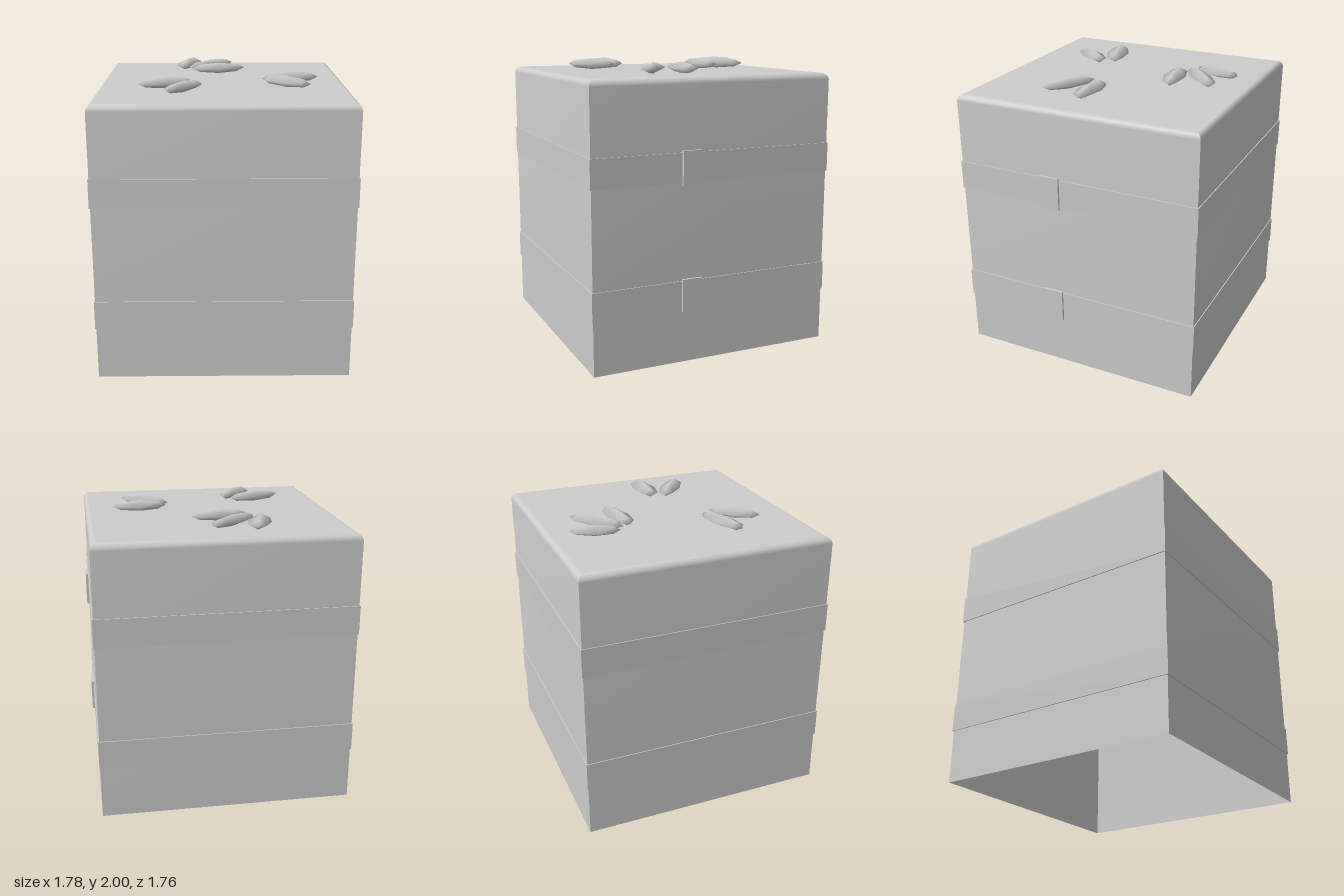
import * as THREE from 'three';
import { toCreasedNormals } from 'three/addons/utils/BufferGeometryUtils.js';

const CX = -0.012;      // the box sits slightly off centre because of the clasps
const HALF = 0.875;     // half width of the box
const TOP = 1.923;
const FILLET = 0.043;

// Open-bottomed square shell with a rounded top rim, built from square rings
function shellGeometry() {
  const rings = [[HALF, 0], [HALF, TOP - FILLET - 0.006]];
  const steps = 4;
  for (let i = 0; i <= steps; i++) {
    const a = (i / steps) * Math.PI / 2;
    rings.push([HALF - FILLET * (1 - Math.cos(a)), TOP - FILLET * (1 - Math.sin(a))]);
  }
  rings.push([HALF - FILLET - 0.006, TOP]);

  const corners = [[1, 1], [1, -1], [-1, -1], [-1, 1]];
  const positions = [];
  const index = [];
  for (const [h, y] of rings) {
    for (const [sx, sz] of corners) positions.push(sx * h, y, sz * h);
  }
  for (let r = 0; r < rings.length - 1; r++) {
    for (let c = 0; c < 4; c++) {
      const a = r * 4 + c;
      const b = r * 4 + (c + 1) % 4;
      index.push(a, b, b + 4, a, b + 4, a + 4);
    }
  }
  const t = (rings.length - 1) * 4;
  index.push(t, t + 1, t + 2, t, t + 2, t + 3);

  const geometry = new THREE.BufferGeometry();
  geometry.setAttribute('position', new THREE.Float32BufferAttribute(positions, 3));
  geometry.setIndex(index);
  return toCreasedNormals(geometry, 0.7);
}

// Thin square sleeve that wraps the box
function bandGeometry(height) {
  const square = (Type, h) => new Type().moveTo(-h, -h).lineTo(h, -h).lineTo(h, h).lineTo(-h, h).closePath();
  const outline = square(THREE.Shape, HALF + 0.007);
  outline.holes.push(square(THREE.Path, HALF + 0.0005));
  const geometry = new THREE.ExtrudeGeometry(outline, { depth: height, bevelEnabled: false });
  return geometry.rotateX(-Math.PI / 2);
}

export function createModel() {
  const model = new THREE.Group();
  model.name = 'strappedBox';
  const grey = new THREE.MeshStandardMaterial({ color: 0xcccccc, side: THREE.DoubleSide });
  grey.name = 'light grey';

  const add = (name, geometry, x, y, z) => {
    const mesh = new THREE.Mesh(geometry, grey);
    mesh.name = name;
    mesh.position.set(x, y, z);
    model.add(mesh);
    return mesh;
  };

  add('boxShell', shellGeometry(), CX, 0, 0);

  // Two straps, each with a clasp on the left side
  for (const [name, y] of [['lower', 0.374], ['upper', 1.24]]) {
    add(name + 'Strap', bandGeometry(0.199), CX, y, 0);
    add(name + 'Clasp', new THREE.BoxGeometry(0.017, 0.229, 0.142), 0.878, y + 0.0985, 0.175);
  }

  // Seeds lying on top: both ends [x, z] and half width
  const seeds = [
    [-0.217, -0.733, -0.32, -0.405, 0.082],
    [0.066, -0.643, -0.263, -0.366, 0.075],
    [0.157, -0.357, -0.237, -0.305, 0.078],
    [0.288, 0.065, 0.67, 0.065, 0.082],
    [0.266, 0.143, 0.588, 0.373, 0.077],
    [-0.217, 0.238, -0.6, 0.352, 0.082],
    [-0.167, 0.305, -0.4, 0.588, 0.078],
  ];
  seeds.forEach(([x1, z1, x2, z2, halfWidth], i) => {
    const length = Math.hypot(x2 - x1, z2 - z1);
    const geometry = new THREE.SphereGeometry(1, 4, 4);
    geometry.rotateZ(Math.PI / 2);                       // poles along x
    geometry.scale(length / 2, 0.039, halfWidth);
    const seed = add('seed' + (i + 1), geometry, (x1 + x2) / 2, 1.961, (z1 + z2) / 2);
    seed.rotation.y = -Math.atan2(z2 - z1, x2 - x1);
  });

  return model;
}
